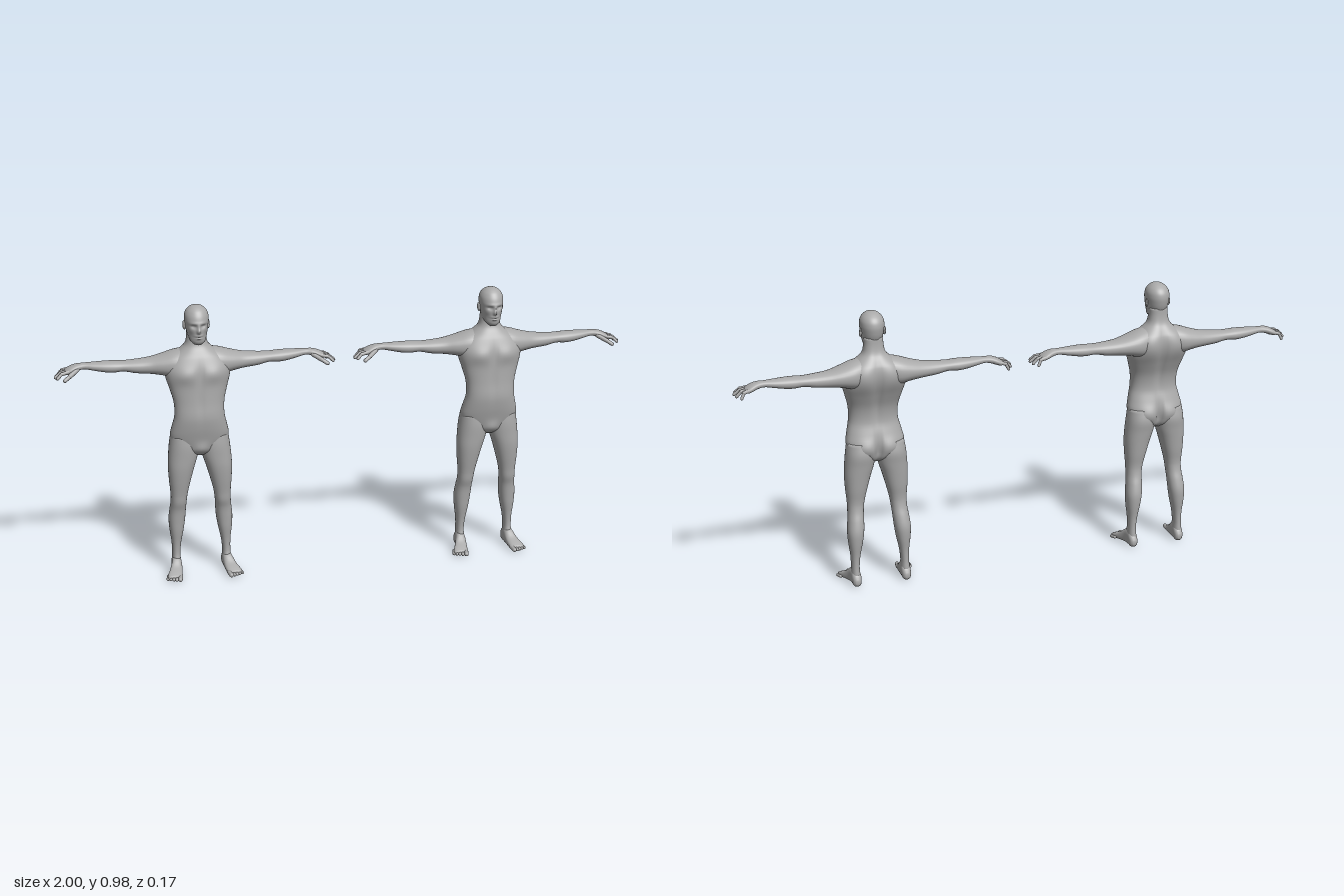
import * as THREE from 'three';

const skin = new THREE.MeshStandardMaterial({ color: 0xaaaaaa });
skin.name = 'grey skin';

// Smooth skin through rows [t, aMin, aMax, bMin, bMax]; place(t, a, b) gives x, y, z.
// bumps: [|a|, t, height, widthA, widthT, side of b]
function loft(name, rows, place, { n = 32, power = 0.9, steps = 4, bumps = [] } = {}) {
  const curve = new THREE.CubicInterpolant(rows.map(r => r[0]), rows.flatMap(r => r.slice(1)), 4);
  const ts = [];
  rows.forEach((r, i) => {
    if (i === rows.length - 1) { ts.push(r[0]); return; }
    for (let k = 0; k < steps; k++) ts.push(r[0] + (rows[i + 1][0] - r[0]) * k / steps);
  });
  const bend = v => Math.sign(v) * Math.abs(v) ** power;
  const pos = [], index = [];
  for (const t of ts) {
    const [a0, a1, b0, b1] = curve.evaluate(t);
    for (let j = 0; j < n; j++) {
      const w = j / n * Math.PI * 2, s = Math.sin(w);
      const a = (a0 + a1) / 2 + (a1 - a0) / 2 * bend(Math.cos(w));
      let b = (b0 + b1) / 2 + (b1 - b0) / 2 * bend(s);
      for (const [ba, bt, h, wa, wt, side] of bumps) {
        const g = Math.exp(-(((Math.abs(a) - ba) / wa) ** 2) - ((t - bt) / wt) ** 2);
        b += side * h * g * Math.min(1, Math.max(0, side * s * 2));
      }
      pos.push(...place(t, a, b));
    }
  }
  for (let i = 0; i < ts.length - 1; i++) for (let j = 0; j < n; j++) {
    const k = (j + 1) % n, p = i * n;
    index.push(p + j, p + n + j, p + k, p + k, p + n + j, p + n + k);
  }
  // end caps
  for (const [row, first] of [[0, true], [ts.length - 1, false]]) {
    const c = curve.evaluate(ts[row]), m = pos.length / 3;
    pos.push(...place(ts[row], (c[0] + c[1]) / 2, (c[2] + c[3]) / 2));
    for (let j = 0; j < n; j++) {
      const p = row * n + j, q = row * n + (j + 1) % n;
      index.push(m, ...(first ? [p, q] : [q, p]));
    }
  }
  // turn faces outward, whichever way the axes run
  const P = i => new THREE.Vector3().fromArray(pos, i * 3);
  let volume = 0;
  for (let i = 0; i < index.length; i += 3)
    volume += P(index[i]).dot(P(index[i + 1]).cross(P(index[i + 2])));
  if (volume < 0) index.reverse();
  const geo = new THREE.BufferGeometry();
  geo.setAttribute('position', new THREE.Float32BufferAttribute(pos, 3));
  geo.setIndex(index);
  geo.computeVertexNormals();
  const mesh = new THREE.Mesh(geo, skin);
  mesh.name = name;
  return mesh;
}

// Rounded limb segments through a few points
function digit(name, points, radius) {
  const group = new THREE.Group();
  group.name = name;
  for (let i = 0; i < points.length - 1; i++) {
    const a = new THREE.Vector3(...points[i]), b = new THREE.Vector3(...points[i + 1]);
    const m = new THREE.Mesh(new THREE.CapsuleGeometry(radius * (1 - i * 0.12), a.distanceTo(b), 4, 10), skin);
    m.position.copy(a).lerp(b, 0.5);
    m.quaternion.setFromUnitVectors(new THREE.Vector3(0, 1, 0), b.sub(a).normalize());
    m.name = name + 'Segment';
    group.add(m);
  }
  return group;
}

const upright = (t, a, b) => [a, t, b];
const symmetric = rows => rows.map(([y, w, back, front]) => [y, -w, w, back, front]);

function buildFigure() {
  const figure = new THREE.Group();
  figure.name = 'figure';

  // Torso from crotch to neck, with chest, shoulder blades, spine and buttocks
  figure.add(loft('torso', symmetric([
    [0.445, 0.02, -0.025, 0.025], [0.46, 0.055, -0.045, 0.04], [0.485, 0.09, -0.054, 0.048],
    [0.515, 0.101, -0.055, 0.056], [0.55, 0.095, -0.046, 0.064], [0.59, 0.086, -0.034, 0.069],
    [0.64, 0.087, -0.038, 0.065], [0.69, 0.1, -0.057, 0.062], [0.73, 0.111, -0.072, 0.061],
    [0.765, 0.11, -0.077, 0.056], [0.795, 0.09, -0.073, 0.045], [0.815, 0.062, -0.063, 0.034],
    [0.835, 0.041, -0.051, 0.023], [0.86, 0.034, -0.045, 0.019], [0.89, 0.033, -0.043, 0.02],
  ]), upright, {
    n: 72, power: 0.85, bumps: [
      [0.05, 0.742, 0.008, 0.04, 0.025, 1], [0, 0.74, -0.005, 0.01, 0.035, 1],
      [0, 0.64, -0.003, 0.01, 0.06, 1], [0.05, 0.76, 0.009, 0.035, 0.05, -1],
      [0, 0.69, -0.011, 0.012, 0.1, -1], [0.045, 0.5, 0.009, 0.035, 0.03, -1],
      [0, 0.49, -0.02, 0.01, 0.045, -1], [0, 0.475, 0.008, 0.022, 0.02, 1],
    ],
  }));

  // Head with brow, eye sockets, nose, lips and chin shaped from the skin
  figure.add(loft('head', symmetric([
    [0.845, 0.012, 0.015, 0.045], [0.855, 0.024, -0.005, 0.052], [0.87, 0.031, -0.033, 0.055],
    [0.89, 0.036, -0.045, 0.056], [0.91, 0.039, -0.051, 0.056], [0.93, 0.041, -0.053, 0.055],
    [0.95, 0.038, -0.047, 0.047], [0.965, 0.027, -0.032, 0.034], [0.973, 0.013, -0.014, 0.018],
    [0.9755, 0.002, 0, 0.005],
  ]), upright, {
    n: 96, steps: 6, power: 0.95, bumps: [
      [0, 0.895, 0.013, 0.006, 0.008, 1], [0, 0.908, 0.006, 0.005, 0.011, 1],
      [0.016, 0.911, -0.008, 0.009, 0.006, 1], [0.014, 0.922, 0.003, 0.014, 0.005, 1],
      [0, 0.879, 0.005, 0.012, 0.003, 1], [0, 0.8745, -0.004, 0.014, 0.002, 1],
      [0, 0.87, 0.004, 0.01, 0.003, 1], [0.026, 0.88, -0.004, 0.01, 0.012, 1],
    ],
  }));

  for (const s of [1, -1]) {
    const side = s > 0 ? 'left' : 'right';
    const at = ([x, y, z]) => [s * x, y, z];

    // Ear
    const ear = new THREE.Mesh(new THREE.SphereGeometry(1, 16, 12), skin);
    ear.scale.set(0.005, 0.016, 0.009);
    ear.position.set(s * 0.041, 0.905, -0.005);
    ear.rotation.set(-0.2, s * -0.35, 0);
    ear.name = side + 'Ear';
    figure.add(ear);

    // Arm from shoulder to palm: [x, bottom, top, back, front]
    figure.add(loft(side + 'Arm', [
      [0.04, 0.72, 0.822, -0.07, 0.035], [0.08, 0.72, 0.814, -0.078, 0.036],
      [0.12, 0.73, 0.801, -0.076, 0.026], [0.16, 0.736, 0.791, -0.07, 0.012],
      [0.21, 0.741, 0.786, -0.064, 0.004], [0.25, 0.749, 0.784, -0.061, -0.002],
      [0.285, 0.747, 0.786, -0.063, -0.002], [0.315, 0.75, 0.786, -0.062, -0.005],
      [0.35, 0.757, 0.785, -0.058, -0.012], [0.385, 0.763, 0.784, -0.053, -0.02],
      [0.405, 0.759, 0.783, -0.056, -0.014], [0.425, 0.752, 0.777, -0.062, -0.009],
      [0.44, 0.749, 0.769, -0.062, -0.01], [0.448, 0.753, 0.763, -0.056, -0.016],
    ], (t, a, b) => [s * t, a, b]));

    // Fingers: [base z, tip x, tip y, tip z]
    [[-0.015, 0.473, 0.744, -0.004], [-0.029, 0.479, 0.743, -0.022],
      [-0.043, 0.475, 0.741, -0.042], [-0.056, 0.462, 0.739, -0.062]].forEach(([z, x, y, tz], i) => {
      figure.add(digit(side + 'Finger' + (i + 1), [
        [0.432, 0.762, z], [(0.445 + x) / 2, 0.757, (z + tz) / 2], [x, y, tz]].map(at), 0.0062));
    });
    figure.add(digit(side + 'Thumb',
      [[0.405, 0.766, -0.02], [0.432, 0.752, 0.004], [0.45, 0.74, 0.011]].map(at), 0.0078));

    // Leg: [y, inner, outer, back, front]
    figure.add(loft(side + 'Leg', [
      [0.02, 0.074, 0.104, -0.054, -0.005], [0.045, 0.074, 0.104, -0.052, 0.002],
      [0.07, 0.075, 0.103, -0.05, -0.002], [0.11, 0.071, 0.104, -0.051, 0],
      [0.16, 0.061, 0.11, -0.058, 0.008], [0.2, 0.055, 0.112, -0.06, 0.012],
      [0.24, 0.052, 0.108, -0.051, 0.017], [0.27, 0.05, 0.105, -0.041, 0.026],
      [0.3, 0.046, 0.105, -0.037, 0.03], [0.35, 0.034, 0.109, -0.044, 0.039],
      [0.4, 0.02, 0.111, -0.05, 0.046], [0.44, 0.008, 0.109, -0.055, 0.048],
      [0.48, 0.004, 0.105, -0.06, 0.049], [0.52, 0.01, 0.099, -0.052, 0.046],
    ], (t, a, b) => [s * a, t, b]));

    // Foot, turned outward: [z, inner, outer, bottom, top]
    figure.add(loft(side + 'Foot', [
      [-0.06, 0.082, 0.096, 0.01, 0.026], [-0.052, 0.075, 0.103, 0.002, 0.042],
      [-0.025, 0.073, 0.106, 0, 0.062], [0, 0.073, 0.11, 0.001, 0.056],
      [0.025, 0.075, 0.12, 0.001, 0.036], [0.05, 0.079, 0.13, 0.001, 0.024],
      [0.064, 0.084, 0.13, 0.003, 0.017],
    ], (t, a, b) => [s * a, b, t], { power: 0.8 }));
    for (let i = 0; i < 5; i++) {
      const r = i ? 0.0056 : 0.0078, x = 0.088 + i * 0.0098 + (i ? 0.002 : 0);
      figure.add(digit(side + 'Toe' + (i + 1),
        [[x - 0.003, r + 0.003, 0.05 - i * 0.003], [x + 0.002, r, 0.077 - i * 0.0045]].map(at), r));
    }
  }
  return figure;
}

export function createModel() {
  const model = new THREE.Group();
  model.name = 'twinFigures';
  const left = buildFigure(), right = left.clone();
  left.name = 'leftFigure';
  right.name = 'rightFigure';
  left.position.x = 0.517;
  right.position.x = -0.517;
  model.add(left, right);
  return model;
}
